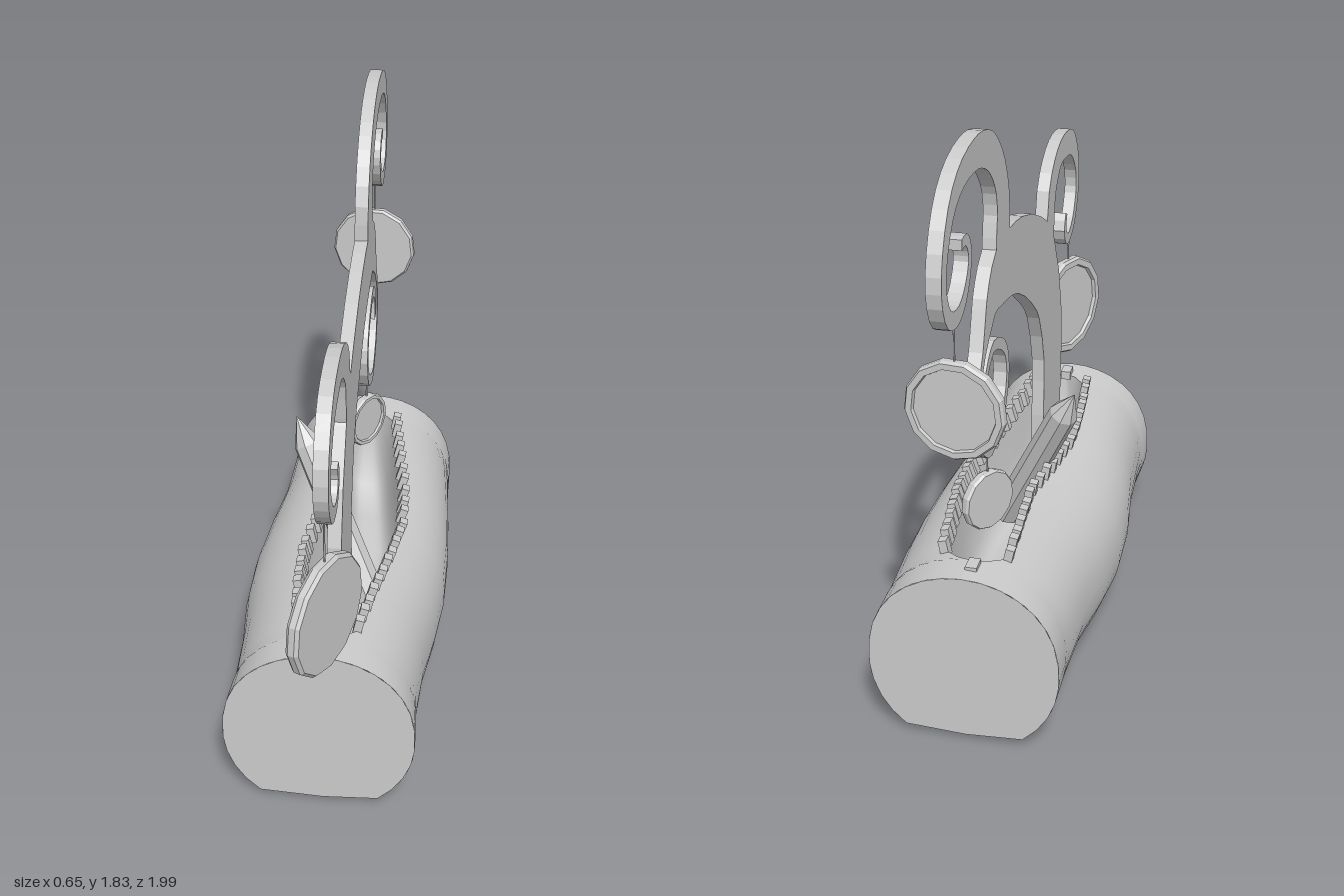
import * as THREE from 'three';

const material = (opts = {}) => new THREE.MeshStandardMaterial({ color: 0xcccccc, ...opts });
const smooth = material({ side: THREE.DoubleSide });
const faceted = material({ flatShading: true });

// Log stations: z, left x, right x, y shift, slot left x, slot right x
const stations = [
  [0.76, -0.305, 0.28, 0, -0.01, -0.01],
  [0.66, -0.3, 0.275, 0, -0.01, -0.01],
  [0.65, -0.298, 0.274, 0, -0.045, 0.045],
  [0.6, -0.296, 0.272, 0, -0.095, 0.09],
  [0.4, -0.305, 0.28, -0.005, -0.115, 0.115],
  [0.2, -0.328, 0.305, -0.015, -0.125, 0.145],
  [0, -0.333, 0.322, -0.02, -0.1, 0.17],
  [-0.2, -0.315, 0.322, -0.012, -0.072, 0.162],
  [-0.4, -0.288, 0.312, 0, -0.085, 0.13],
  [-0.6, -0.283, 0.298, 0.006, -0.097, 0.1],
  [-0.65, -0.283, 0.297, 0.007, -0.045, 0.045],
  [-0.66, -0.283, 0.297, 0.007, 0.005, 0.005],
  [-0.77, -0.285, 0.295, 0.008, 0.005, 0.005],
];
const BOTTOM = 2.473; // angle from the top at which the open underside starts

function stationAt(z) {
  const i = Math.max(1, stations.findIndex((s) => s[0] <= z));
  const a = stations[i - 1], b = stations[i];
  const t = (z - a[0]) / (b[0] - a[0]);
  return a.map((v, k) => THREE.MathUtils.lerp(v, b[k], t));
}

// Point on the log's section at an angle measured from the top
function sectionPoint([z, l, r, dy], angle) {
  const c = Math.cos(angle);
  const y = 0.25 + dy + (c > 0 ? 0.31 * Math.pow(c, 0.85) : 0.29 * c);
  return new THREE.Vector3((l + r) / 2 + ((r - l) / 2) * Math.sin(angle), y, z);
}
const slotAngle = ([, l, r], x) => Math.asin((x - (l + r) / 2) / ((r - l) / 2));

// Smooth surface through equal-length rows of points
function loft(rows) {
  const n = rows[0].length, index = [];
  for (let r = 0; r < rows.length - 1; r++) {
    for (let c = 0; c < n - 1; c++) {
      const a = r * n + c, b = a + n;
      index.push(a, a + 1, b, a + 1, b + 1, b);
    }
  }
  const geo = new THREE.BufferGeometry().setFromPoints(rows.flat());
  geo.setIndex(index);
  geo.computeVertexNormals();
  return geo;
}

function arc(station, from, to, steps = 14) {
  return Array.from({ length: steps + 1 }, (_, i) =>
    sectionPoint(station, THREE.MathUtils.lerp(from, to, i / steps)));
}

function add(parent, name, geo, mat) {
  const mesh = new THREE.Mesh(geo, mat);
  mesh.name = name;
  parent.add(mesh);
  return mesh;
}

function makeLog() {
  const log = new THREE.Group();
  log.name = 'log';
  add(log, 'barkLeft', loft(stations.map((s) => arc(s, slotAngle(s, s[5]), BOTTOM))), smooth);
  add(log, 'barkRight', loft(stations.map((s) => arc(s, -BOTTOM, slotAngle(s, s[4])))), smooth);

  // Boat-shaped hollow
  const hollow = stations.slice(1, -1).map((s) => {
    const a = sectionPoint(s, slotAngle(s, s[4])), b = sectionPoint(s, slotAngle(s, s[5]));
    const depth = 0.27 * Math.min(1, (b.x - a.x) / 0.18);
    return Array.from({ length: 13 }, (_, i) => {
      const p = a.clone().lerp(b, i / 12);
      p.y -= depth * (1 - Math.pow(i / 6 - 1, 4));
      return p;
    });
  });
  add(log, 'hollow', loft(hollow), smooth);

  // Flat ends
  for (const s of [stations[0], stations.at(-1)]) {
    const outline = arc(s, -BOTTOM, BOTTOM, 24).map((p) => new THREE.Vector2(p.x, p.y));
    outline.push(new THREE.Vector2(0, outline[0].y - 0.01));
    add(log, 'logEnd', new THREE.ShapeGeometry(new THREE.Shape(outline)), smooth).position.z = s[0];
  }

  // Row of small teeth around the rim of the hollow
  const tooth = new THREE.BoxGeometry(0.026, 0.055, 0.032);
  for (const side of [4, 5]) {
    for (let i = 0; i < 21; i++) {
      const s = stationAt(0.59 - i * 0.0595);
      const angle = slotAngle(s, s[side]);
      const mesh = add(log, 'rimTooth', tooth, faceted);
      mesh.position.copy(sectionPoint(s, angle));
      mesh.position.y += 0.014 + 0.004 * Math.sin(i * 2.4);
      mesh.rotation.z = -angle * 0.6;
    }
  }
  for (const z of [0.675, -0.69]) {
    add(log, 'endTooth', new THREE.BoxGeometry(0.035, 0.03, 0.055), faceted).position.set(-0.01, 0.562, z);
  }
  return log;
}

// Flat plate following a centre line; each triple is z, y, half width
function ribbon(data) {
  const pts = [];
  for (let i = 0; i < data.length; i += 3) pts.push(new THREE.Vector3(data[i], data[i + 1], data[i + 2]));
  const curve = new THREE.CatmullRomCurve3(pts);
  const left = [], right = [], steps = (pts.length - 1) * 2;
  for (let i = 0; i <= steps; i++) {
    const p = curve.getPoint(i / steps), t = curve.getTangent(i / steps);
    const n = new THREE.Vector2(-t.y, t.x).normalize().multiplyScalar(p.z);
    left.push(new THREE.Vector2(p.x + n.x, p.y + n.y));
    right.unshift(new THREE.Vector2(p.x - n.x, p.y - n.y));
  }
  const geo = new THREE.ExtrudeGeometry(new THREE.Shape([...left, ...right]), { depth: 0.042, bevelEnabled: false });
  return geo.translate(0, 0, -0.021).rotateY(-Math.PI / 2);
}

function makeBranch() {
  const branch = new THREE.Group();
  branch.name = 'branch';
  branch.position.x = 0.012;
  branch.rotation.y = 0.013;
  // Arch that thins into the inner curl
  add(branch, 'arch', ribbon([
    0.443, 0.4, 0.15, 0.443, 0.57, 0.153, 0.45, 0.81, 0.157, 0.334, 1.07, 0.157, 0.163, 1.198, 0.142,
    -0.078, 1.305, 0.118, -0.243, 1.337, 0.107, -0.377, 1.342, 0.098, -0.447, 1.31, 0.075, -0.487, 1.268, 0.055,
    -0.555, 1.182, 0.02, -0.61, 1.1, 0.018, -0.628, 1.016, 0.018, -0.6, 0.93, 0.018, -0.548, 0.872, 0.018,
    -0.468, 0.834, 0.018, -0.377, 0.856, 0.018, -0.297, 0.904, 0.018, -0.254, 0.995, 0.018, -0.275, 1.07, 0.018,
    -0.34, 1.123, 0.018, -0.436, 1.155, 0.018, -0.5, 1.128, 0.018, -0.537, 1.085, 0.018, -0.537, 1.016, 0.02,
  ]), material());
  add(branch, 'frontCurl', ribbon([
    0.38, 1.1, 0.05, 0.393, 1.198, 0.06, 0.42, 1.332, 0.06, 0.484, 1.396, 0.052, 0.57, 1.433, 0.044,
    0.666, 1.433, 0.045, 0.767, 1.412, 0.045, 0.832, 1.364, 0.04, 0.88, 1.294, 0.033, 0.89, 1.214, 0.027,
    0.864, 1.155, 0.026, 0.816, 1.1, 0.024, 0.74, 1.07, 0.02, 0.69, 1.08, 0.02, 0.66, 1.125, 0.018, 0.682, 1.176, 0.014,
  ]), material());
  add(branch, 'backCurl', ribbon([
    -0.313, 1.37, 0.09, -0.307, 1.465, 0.086, -0.302, 1.545, 0.078, -0.334, 1.636, 0.066, -0.388, 1.7, 0.06,
    -0.457, 1.749, 0.056, -0.548, 1.781, 0.05, -0.639, 1.791, 0.045, -0.757, 1.781, 0.04, -0.853, 1.743, 0.035,
    -0.922, 1.674, 0.03, -0.965, 1.578, 0.025, -0.96, 1.503, 0.025, -0.917, 1.439, 0.025, -0.853, 1.417, 0.025,
    -0.794, 1.422, 0.025, -0.735, 1.46, 0.022, -0.698, 1.519, 0.018, -0.703, 1.561, 0.018, -0.735, 1.594, 0.016,
    -0.783, 1.594, 0.015,
  ]), material());
  return branch;
}

// Hanging disc, raised rim on the side that faces (nx, nz), with its string
function makePendant(name, x, y, z, r, t, nx, nz, stringTop) {
  const pendant = new THREE.Group();
  pendant.name = name;
  const profile = [[0, -t / 2], [r * 0.95, -t / 2], [r, -t / 4], [r, t / 4], [r * 0.96, t / 2],
    [r * 0.84, t / 2], [r * 0.82, t / 5], [0, t / 5]].map(([a, b]) => new THREE.Vector2(a, b));
  const disc = add(pendant, 'disc', new THREE.LatheGeometry(profile, 13).rotateX(Math.PI / 2), faceted);
  disc.position.set(x, y, z);
  disc.rotation.y = Math.atan2(nx, nz);
  const length = stringTop - y - r + 0.01;
  const string = add(pendant, 'string', new THREE.CylinderGeometry(0.003, 0.003, length, 5), faceted);
  string.position.set(x, stringTop - length / 2, z);
  return pendant;
}

// Pointed stake leaning out of the hollow
function makeStake() {
  const base = new THREE.Vector3(0.08, 0.29, 0.1), tip = new THREE.Vector3(-0.19, 0.86, -0.1);
  const axis = tip.clone().sub(base), len = axis.length();
  const profile = [[0, 0], [0.052, 0], [0.047, len - 0.1], [0, len]].map(([a, b]) => new THREE.Vector2(a, b));
  const stake = new THREE.Mesh(new THREE.LatheGeometry(profile, 8), faceted);
  stake.name = 'stake';
  stake.position.copy(base);
  stake.quaternion.setFromUnitVectors(new THREE.Vector3(0, 1, 0), axis.normalize());
  return stake;
}

export function createModel() {
  const model = new THREE.Group();
  model.name = 'carvedLog';
  model.add(
    makeLog(),
    makeBranch(),
    makeStake(),
    makePendant('frontPendant', 0.02, 0.77, 0.822, 0.186, 0.04, -0.915, -0.4, 1.1),
    makePendant('innerPendant', 0.006, 0.655, -0.45, 0.097, 0.03, 0.84, 0.54, 0.83),
    makePendant('backPendant', -0.008, 1.147, -0.838, 0.147, 0.036, 0.13, -0.99, 1.41),
  );
  return model;
}
